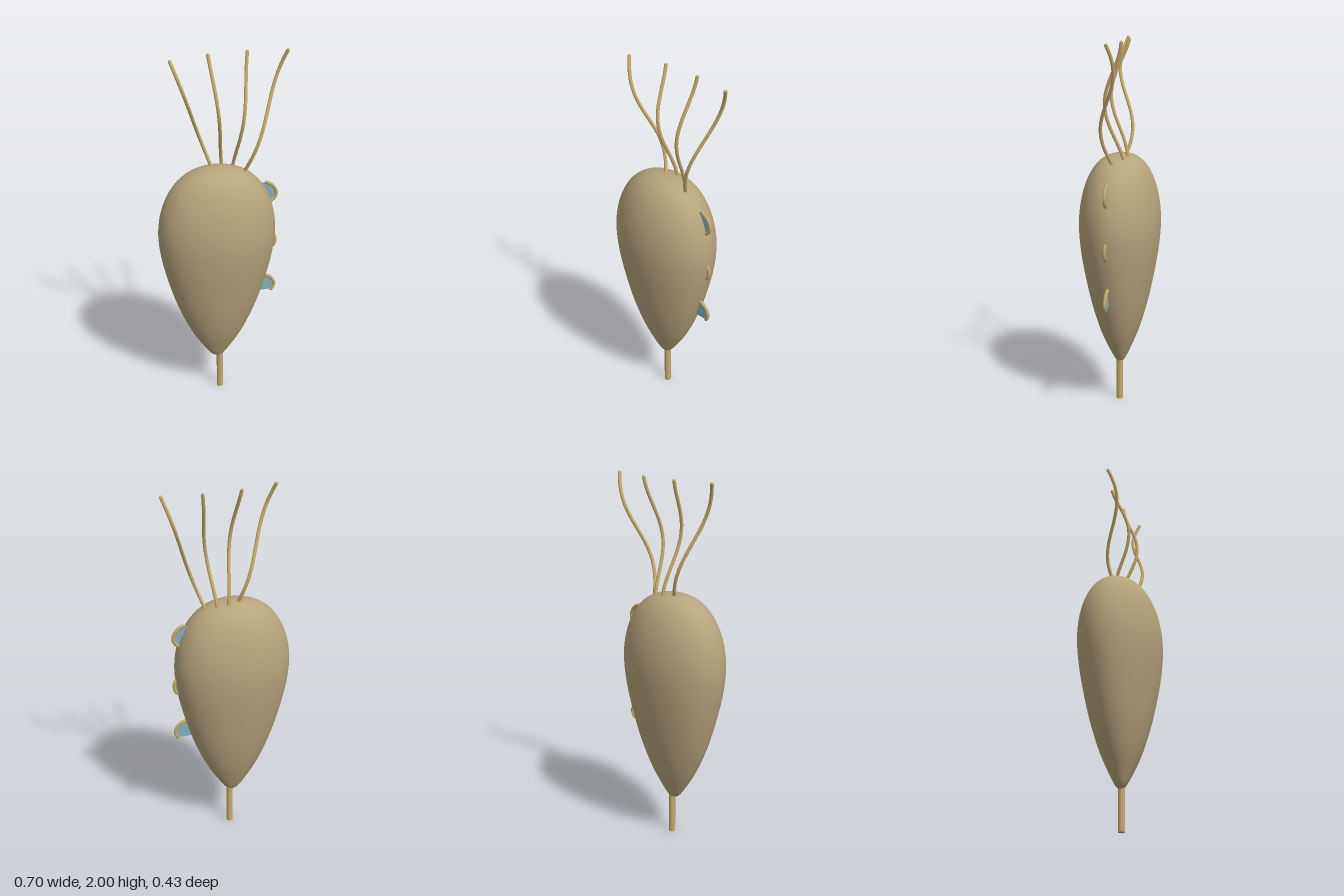
import * as THREE from 'three';

const bodyMat = new THREE.MeshStandardMaterial({ color: 0xb5a47b });
bodyMat.name = 'dull olive tan';
const tubeMat = new THREE.MeshStandardMaterial({ color: 0xc4a96a });
tubeMat.name = 'warm tan';
const webMat = new THREE.MeshStandardMaterial({ color: 0x86adb8, side: THREE.DoubleSide });
webMat.name = 'pale blue';

const RADIUS = 0.009;

function addMesh(parent, name, geometry, material) {
  const mesh = new THREE.Mesh(geometry, material);
  mesh.name = name;
  parent.add(mesh);
  return mesh;
}

// Round tube through points, closed by a small ball at each end
function addTube(parent, name, points, segments) {
  const curve = new THREE.CatmullRomCurve3(points);
  addMesh(parent, name, new THREE.TubeGeometry(curve, segments, RADIUS, 10), tubeMat);
  for (const end of [points[0], points[points.length - 1]]) {
    addMesh(parent, name + 'End', new THREE.SphereGeometry(RADIUS, 10, 8), tubeMat).position.copy(end);
  }
}

// Egg-shaped body, narrow at the bottom and flattened front to back
function addBody(group) {
  const outline = [
    [0, 0.218], [0.035, 0.233], [0.078, 0.29], [0.14, 0.39], [0.192, 0.5], [0.237, 0.62],
    [0.28, 0.77], [0.308, 0.9], [0.319, 1.02], [0.308, 1.13], [0.275, 1.23], [0.22, 1.315],
    [0.15, 1.37], [0.075, 1.395], [0, 1.401],
  ].map(([r, y]) => new THREE.Vector2(r, y));
  const profile = new THREE.SplineCurve(outline).getPoints(56);
  profile.forEach((p) => { p.x = Math.max(p.x, 0); });
  const geometry = new THREE.LatheGeometry(profile, 64);
  geometry.scale(1, 1, 0.214 / 0.319);
  geometry.translate(-0.034, 0, 0);
  addMesh(group, 'body', geometry, bodyMat);
}

// Wavy strand: straight from the front, a sine wave in depth
function addStrand(group, [x0, y0], x1, crestY) {
  const top = 2 - RADIUS * 0.6;
  const points = [];
  for (let i = 0; i <= 20; i++) {
    const t = -0.06 + (i / 20) * 1.06;
    const y = y0 + (top - y0) * t;
    const z = 0.05 * Math.cos(((y - crestY) / 0.7) * Math.PI * 2);
    points.push(new THREE.Vector3(x0 + (x1 - x0) * t, y, z));
  }
  addTube(group, 'strand', points, 60);
}

// Curved rim on the side, with a flat web filling it back to the body
function addFin(group, name, rim, inner) {
  const fin = new THREE.Group();
  fin.name = name;
  addTube(fin, 'finRim', rim.map(([x, y]) => new THREE.Vector3(x, y, 0)), 24);
  const edge = new THREE.SplineCurve(rim.map(([x, y]) => new THREE.Vector2(x, y))).getPoints(16);
  const shape = new THREE.Shape([...edge, ...inner.map(([x, y]) => new THREE.Vector2(x, y))]);
  addMesh(fin, 'finWeb', new THREE.ShapeGeometry(shape), webMat);
  group.add(fin);
}

export function createModel() {
  const group = new THREE.Group();
  group.name = 'bulbWithStrands';

  addBody(group);

  // Stem below the body
  const stem = new THREE.CylinderGeometry(0.018, 0.018, 0.26, 16);
  addMesh(group, 'stem', stem, tubeMat).position.set(-0.02, 0.13, 0);

  // Four strands fanning out of the top
  addStrand(group, [-0.06, 1.4], -0.272, 1.86);
  addStrand(group, [0.002, 1.4], -0.069, 1.72);
  addStrand(group, [0.062, 1.385], 0.136, 1.67);
  addStrand(group, [0.115, 1.365], 0.341, 1.53);

  // Three fins down the left side
  addFin(group, 'upperFin',
    [[0.238, 1.284], [0.272, 1.262], [0.292, 1.22], [0.282, 1.188], [0.262, 1.172]],
    [[0.2, 1.12], [0.14, 1.288]]);
  addFin(group, 'middleFin',
    [[0.272, 0.978], [0.286, 0.962], [0.292, 0.935], [0.286, 0.905], [0.272, 0.89]],
    [[0.24, 0.89], [0.24, 0.978]]);
  addFin(group, 'lowerFin',
    [[0.236, 0.715], [0.27, 0.695], [0.292, 0.657], [0.288, 0.633], [0.277, 0.616]],
    [[0.17, 0.616], [0.17, 0.715]]);

  return group;
}
